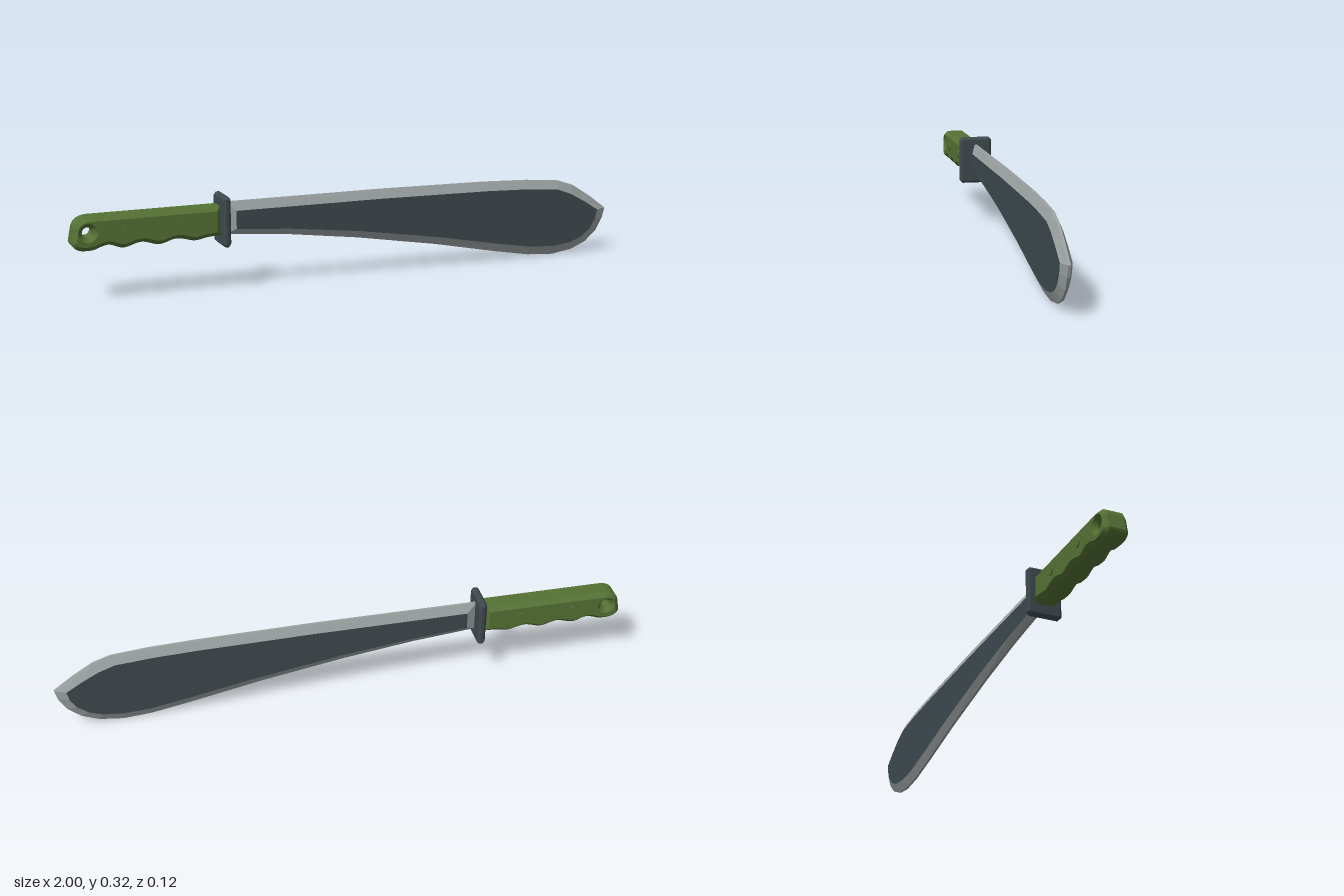
import * as THREE from 'three';

const green = new THREE.MeshStandardMaterial({ name: 'green grip', color: 0x557235 });
const dark = new THREE.MeshStandardMaterial({ name: 'dark steel', color: 0x3e494e });
const steel = new THREE.MeshStandardMaterial({ name: 'bare steel', color: 0x9ba1a1 });

const HALF = 0.019; // half thickness of the blade
const RIM = 0.004; // half thickness of its edge

// Blade outline, clockwise: outer x, y, then the matching corner of the flat
const blade = [
  [-0.475, 0.293, -0.44, 0.262], [0.1, 0.295, 0.1, 0.263], [0.5, 0.291, 0.5, 0.259],
  [0.67, 0.285, 0.66, 0.254], [0.8, 0.274, 0.79, 0.244], [0.86, 0.254, 0.845, 0.224],
  [0.93, 0.21, 0.905, 0.191], [1.0, 0.158, 0.96, 0.156], [0.99, 0.12, 0.952, 0.122],
  [0.965, 0.075, 0.931, 0.088], [0.92, 0.036, 0.896, 0.06], [0.86, 0.011, 0.85, 0.042],
  [0.78, 0, 0.78, 0.033], [0.68, 0.007, 0.687, 0.038], [0.55, 0.03, 0.557, 0.06],
  [0.3, 0.08, 0.305, 0.108], [0, 0.13, 0, 0.156], [-0.25, 0.163, -0.25, 0.185],
  [-0.475, 0.183, -0.44, 0.2],
];

function add(group, name, geometry, material) {
  const mesh = new THREE.Mesh(geometry, material);
  mesh.name = name;
  group.add(mesh);
  return mesh;
}

// Sloping bands on both sides plus the narrow rim between them
function bladeBevel() {
  const pos = [];
  const quad = (a, b, c, d) => pos.push(...a, ...b, ...c, ...a, ...c, ...d);
  blade.forEach((p, i) => {
    const q = blade[(i + 1) % blade.length];
    const outer = (v, s) => [v[0], v[1], s * RIM];
    const inner = (v, s) => [v[2], v[3], s * HALF];
    quad(inner(p, 1), inner(q, 1), outer(q, 1), outer(p, 1));
    quad(outer(p, -1), outer(q, -1), inner(q, -1), inner(p, -1));
    quad(outer(p, 1), outer(q, 1), outer(q, -1), outer(p, -1));
  });
  const g = new THREE.BufferGeometry();
  g.setAttribute('position', new THREE.Float32BufferAttribute(pos, 3));
  g.computeVertexNormals();
  return g;
}

// Extrusion centred on z = 0 whose chamfer stays inside the outline
function chamfered(shape, thickness, bevel) {
  const g = new THREE.ExtrudeGeometry(shape, {
    depth: thickness - 2 * bevel, bevelEnabled: true, bevelSize: bevel,
    bevelThickness: bevel, bevelOffset: -bevel, bevelSegments: 1, curveSegments: 8,
  });
  return g.translate(0, 0, bevel - thickness / 2);
}

function gripShape() {
  const s = new THREE.Shape();
  s.moveTo(-0.5, 0.285);
  s.lineTo(-0.94, 0.283);
  s.quadraticCurveTo(-0.98, 0.28, -0.99, 0.25);
  s.lineTo(-1, 0.2);
  s.quadraticCurveTo(-0.995, 0.177, -0.965, 0.172);
  // finger grooves
  s.splineThru([
    [-0.93, 0.173], [-0.88, 0.187], [-0.83, 0.173], [-0.77, 0.187], [-0.71, 0.174],
    [-0.65, 0.188], [-0.59, 0.176], [-0.545, 0.183], [-0.5, 0.186],
  ].map(([x, y]) => new THREE.Vector2(x, y)));
  s.closePath();
  // lanyard hole
  const hole = new THREE.Path();
  hole.absarc(-0.947, 0.232, 0.018, 0, Math.PI * 2, true);
  s.holes.push(hole);
  return s;
}

function guardShape() {
  const w = 0.06, h = 0.0865, c = 0.01;
  return new THREE.Shape([
    [w, -h + c], [w, h - c], [w - c, h], [-w + c, h],
    [-w, h - c], [-w, -h + c], [-w + c, -h], [w - c, -h],
  ].map(([x, y]) => new THREE.Vector2(x, y)));
}

export function createModel() {
  const model = new THREE.Group();
  model.name = 'machete';

  // Blade: steel edges around a dark flat on each side
  add(model, 'bladeEdge', bladeBevel(), steel);
  const flat = new THREE.Shape(blade.map((p) => new THREE.Vector2(p[2], p[3])));
  add(model, 'bladeFlats', new THREE.ExtrudeGeometry(flat, { depth: 2 * HALF, bevelEnabled: false })
    .translate(0, 0, -HALF), dark);

  // Guard plate across the blade
  const guard = add(model, 'guard', chamfered(guardShape(), 0.027, 0.008), dark);
  guard.rotation.y = Math.PI / 2;
  guard.position.set(-0.484, 0.2335, 0);

  // Grip, with a tang joining it to the guard
  add(model, 'grip', chamfered(gripShape(), 0.084, 0.014), green);
  add(model, 'tang', new THREE.BoxGeometry(0.04, 0.07, 0.04).translate(-0.5, 0.235, 0), dark);

  // Rivets showing on both sides of the grip
  for (const x of [-0.82, -0.63]) {
    const rivet = add(model, 'rivet', new THREE.CylinderGeometry(0.016, 0.016, 0.092, 12), green);
    rivet.rotation.x = Math.PI / 2;
    rivet.position.set(x, 0.235, 0);
  }
  return model;
}
